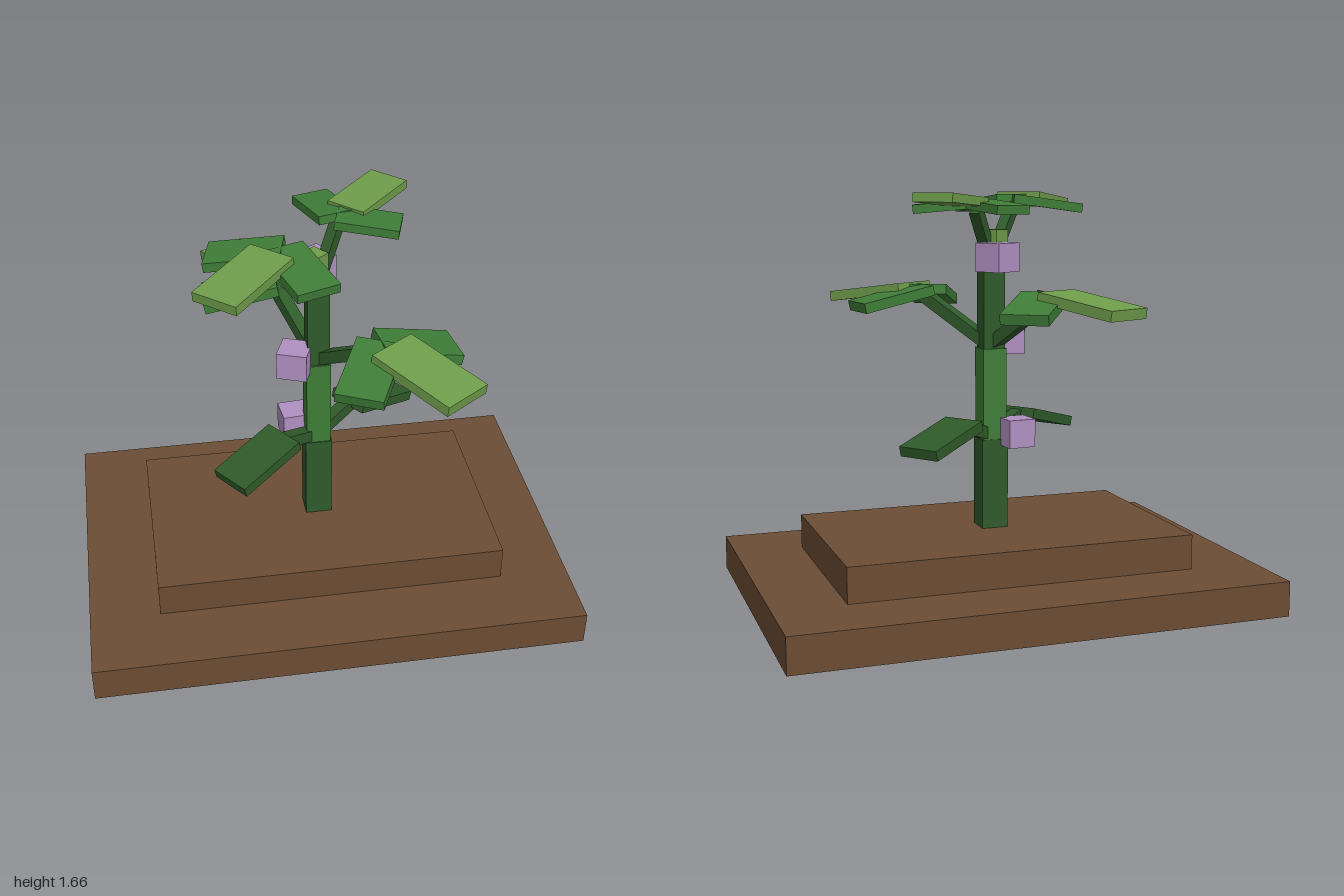
import * as THREE from 'three';

const mat = (name, color) => Object.assign(new THREE.MeshStandardMaterial({ color }), { name });

export function createModel() {
  const model = new THREE.Group();
  model.name = 'stackedPlant';
  const soil = mat('soilBrown', 0x6b4d34);
  const dark = mat('darkGreen', 0x2f5a2a);
  const mid = mat('midGreen', 0x3f7d38);
  const light = mat('lightGreen', 0x6f9d4b);
  const lilac = mat('lilac', 0xb090c2);

  // Box resting on height y0
  const block = (name, m, w, h, d, x, y0, z, turn = 0, parent = model) => {
    const mesh = new THREE.Mesh(new THREE.BoxGeometry(w, h, d), m);
    mesh.name = name;
    mesh.position.set(x, y0 + h / 2, z);
    mesh.rotation.y = turn;
    parent.add(mesh);
    return mesh;
  };

  // Square branch between two points
  const branch = (parent, a, b, t) => {
    const from = new THREE.Vector3(...a), to = new THREE.Vector3(...b);
    const mesh = new THREE.Mesh(new THREE.BoxGeometry(t, t, from.distanceTo(to)), dark);
    mesh.name = 'branch';
    mesh.position.copy(from).add(to).multiplyScalar(0.5);
    mesh.lookAt(to);
    parent.add(mesh);
  };

  // Slab leaf: starts at a top-edge point, heads along a bearing and drops towards its tip
  const leaf = (parent, name, m, x, y, z, bearing, length, width, drop, t) => {
    const geo = new THREE.BoxGeometry(width, t, Math.hypot(length, drop));
    geo.translate(0, -t / 2, Math.hypot(length, drop) / 2);
    const mesh = new THREE.Mesh(geo, m);
    mesh.name = name;
    mesh.position.set(x, y, z);
    mesh.rotation.set(Math.atan2(drop, length), bearing, 0, 'YXZ');
    parent.add(mesh);
  };

  // Stepped soil
  block('lowerSoil', soil, 2, 0.143, 1.43, 0, 0, 0);
  block('upperSoil', soil, 1.43, 0.143, 0.86, 0, 0.143, 0);

  // Stalk segments and bud
  block('lowerStalk', dark, 0.11, 0.37, 0.11, 0, 0.286, 0);
  block('middleStalk', mid, 0.1, 0.374, 0.104, 0, 0.656, 0);
  block('upperStalk', dark, 0.09, 0.35, 0.09, 0, 1.03, 0);
  block('topBud', light, 0.08, 0.13, 0.08, -0.01, 1.38, -0.01, 0.62);

  // Low pair of single dark leaves
  for (const s of [1, -1]) {
    const g = new THREE.Group();
    g.name = 'lowLeafStem';
    const dx = 0.81 * s, dz = -0.58 * s;
    branch(g, [0, 0.67, 0], [dx * 0.21, 0.73, dz * 0.21], 0.05);
    leaf(g, 'lowLeaf', dark, dx * 0.19, 0.76, dz * 0.19, Math.atan2(dx, dz), 0.3, 0.18, 0.075, 0.042);
    model.add(g);
  }

  // Three-leaf sprays: one light leaf straight out, two mid-green leaves to the sides
  const spray = (s) => {
    const g = new THREE.Group();
    g.name = s.name;
    const [dx, dz] = s.dir, bearing = Math.atan2(dx, dz);
    branch(g, [0, s.start, 0], [dx * s.joint, s.top - 0.045, dz * s.joint], s.branch);
    leaf(g, 'tipLeaf', light, dx * s.r0, s.tipTop, dz * s.r0, bearing, s.r1 - s.r0, s.tipWidth, s.tipDrop, s.thick);
    for (const side of [1, -1])
      leaf(g, 'sideLeaf', mid, dx * s.joint, s.top, dz * s.joint, bearing + side * 1.08,
        s.sideLength, s.sideWidth, s.sideDrop, s.thick);
    model.add(g);
  };
  spray({ name: 'middleBackSpray', dir: [-0.43, -0.903], start: 1.04, joint: 0.3, top: 1.275, branch: 0.05,
    r0: 0.36, r1: 0.73, tipTop: 1.282, tipDrop: 0.05, tipWidth: 0.205, sideLength: 0.3, sideWidth: 0.19, sideDrop: 0.065, thick: 0.042 });
  spray({ name: 'middleFrontSpray', dir: [0.58, 0.815], start: 1.04, joint: 0.345, top: 1.275, branch: 0.05,
    r0: 0.4, r1: 0.78, tipTop: 1.282, tipDrop: 0.05, tipWidth: 0.215, sideLength: 0.305, sideWidth: 0.19, sideDrop: 0.065, thick: 0.042 });
  spray({ name: 'topFrontSpray', dir: [-0.67, 0.742], start: 1.38, joint: 0.235, top: 1.65, branch: 0.045,
    r0: 0.3, r1: 0.655, tipTop: 1.66, tipDrop: 0.03, tipWidth: 0.19, sideLength: 0.285, sideWidth: 0.173, sideDrop: 0.04, thick: 0.037 });
  spray({ name: 'topBackSpray', dir: [0.715, -0.7], start: 1.38, joint: 0.13, top: 1.632, branch: 0.045,
    r0: 0.185, r1: 0.485, tipTop: 1.638, tipDrop: -0.02, tipWidth: 0.17, sideLength: 0.25, sideWidth: 0.153, sideDrop: 0.022, thick: 0.035 });

  // Cube blossoms against the stalk
  block('lowBlossom', lilac, 0.115, 0.115, 0.115, -0.085, 0.63, -0.075, 0.1);
  block('middleBlossom', lilac, 0.123, 0.115, 0.123, -0.095, 1.002, 0.035, -0.37);
  block('topBlossom', lilac, 0.125, 0.115, 0.125, 0.005, 1.345, -0.095, 0.52);

  return model;
}
